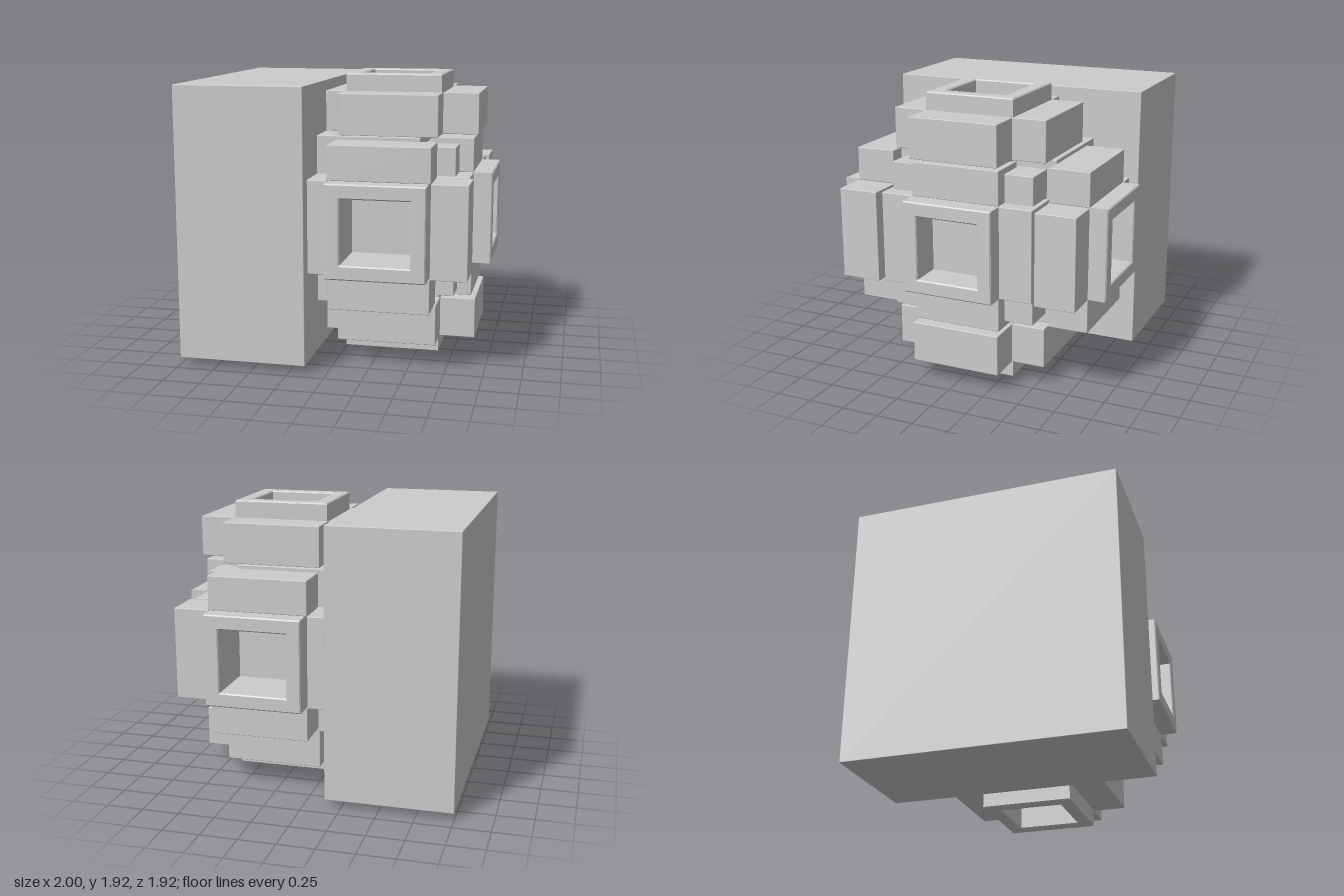
import * as THREE from 'three';
import { RoundedBoxGeometry } from 'three/addons/geometries/RoundedBoxGeometry.js';

const grey = new THREE.MeshStandardMaterial({ color: 0xcccccc });
grey.name = 'light grey';

// Box given by its minimum and maximum corners, with very fine softened edges
function box(name, x0, x1, y0, y1, z0, z1) {
  const geo = new RoundedBoxGeometry(x1 - x0, y1 - y0, z1 - z0, 1, 0.005);
  const mesh = new THREE.Mesh(geo, grey);
  mesh.position.set((x0 + x1) / 2, (y0 + y1) / 2, (z0 + z1) / 2);
  mesh.name = name;
  return mesh;
}

// Rectangular outline, centred on the origin
function rect(target, w, h) {
  target.moveTo(-w, -h);
  target.lineTo(w, -h);
  target.lineTo(w, h);
  target.lineTo(-w, h);
  target.closePath();
  return target;
}

// Open square frame reaching from z0 to z1, with bevelled rims
function frame(w, h, holeW, holeH, z0, z1) {
  const b = 0.008;
  const shape = rect(new THREE.Shape(), w, h);
  shape.holes.push(rect(new THREE.Path(), holeW, holeH));
  const geo = new THREE.ExtrudeGeometry(shape, {
    depth: z1 - z0 - 2 * b, bevelEnabled: true, bevelThickness: b,
    bevelSize: b, bevelOffset: -b, bevelSegments: 1,
  });
  geo.translate(0, 0, z0 + b);
  const mesh = new THREE.Mesh(geo, grey);
  mesh.name = 'socketFrame';
  return mesh;
}

// Socket facing +z: a frame with a block against each of its four sides
function socket(name, o) {
  const g = new THREE.Group();
  g.name = name;
  g.add(frame(o.w, o.h, o.holeW, o.holeH, o.frameBase, o.frameTip));
  for (const s of [-1, 1]) {
    const xs = [s * o.sideIn, s * o.sideOut].sort((a, b) => a - b);
    const ys = [s * 0.31, s * 0.54].sort((a, b) => a - b);
    g.add(box('sideBlock', ...xs, -0.31, 0.31, o.blockBase, o.blockTip));
    g.add(box('edgeBlock', -o.sideIn, o.sideIn, ...ys, o.blockBase, o.blockTip));
  }
  return g;
}

export function createModel() {
  const model = new THREE.Group();
  model.name = 'blockAssembly';

  // Large backing slab
  model.add(box('backingSlab', -1, -0.14, 0.05, 1.872, -0.905, 0.935));

  // Central body: wide inner block and narrower core showing at the corners
  const hub = new THREE.Group();
  hub.name = 'hub';
  hub.position.set(0.325, 0.96, 0);
  hub.add(box('innerBlock', -0.475, 0.225, -0.565, 0.565, -0.572, 0.572));
  hub.add(box('core', -0.45, 0.45, -0.5, 0.5, -0.504, 0.504));

  // Front, bottom, back and top sockets around the x axis
  const ring = {
    w: 0.325, h: 0.31, holeW: 0.227, holeH: 0.214, frameBase: 0.55, frameTip: 0.958,
    sideIn: 0.335, sideOut: 0.575, blockBase: 0.564, blockTip: 0.84,
  };
  ['frontSocket', 'bottomSocket', 'backSocket', 'topSocket'].forEach((name, i) => {
    const s = socket(name, ring);
    s.rotation.x = i * Math.PI / 2;
    hub.add(s);
  });

  // Side socket facing +x
  const side = socket('sideSocket', {
    w: 0.31, h: 0.31, holeW: 0.214, holeH: 0.214, frameBase: 0.42, frameTip: 0.675,
    sideIn: 0.307, sideOut: 0.535, blockBase: 0.255, blockTip: 0.547,
  });
  side.rotation.y = Math.PI / 2;
  hub.add(side);

  model.add(hub);
  return model;
}
